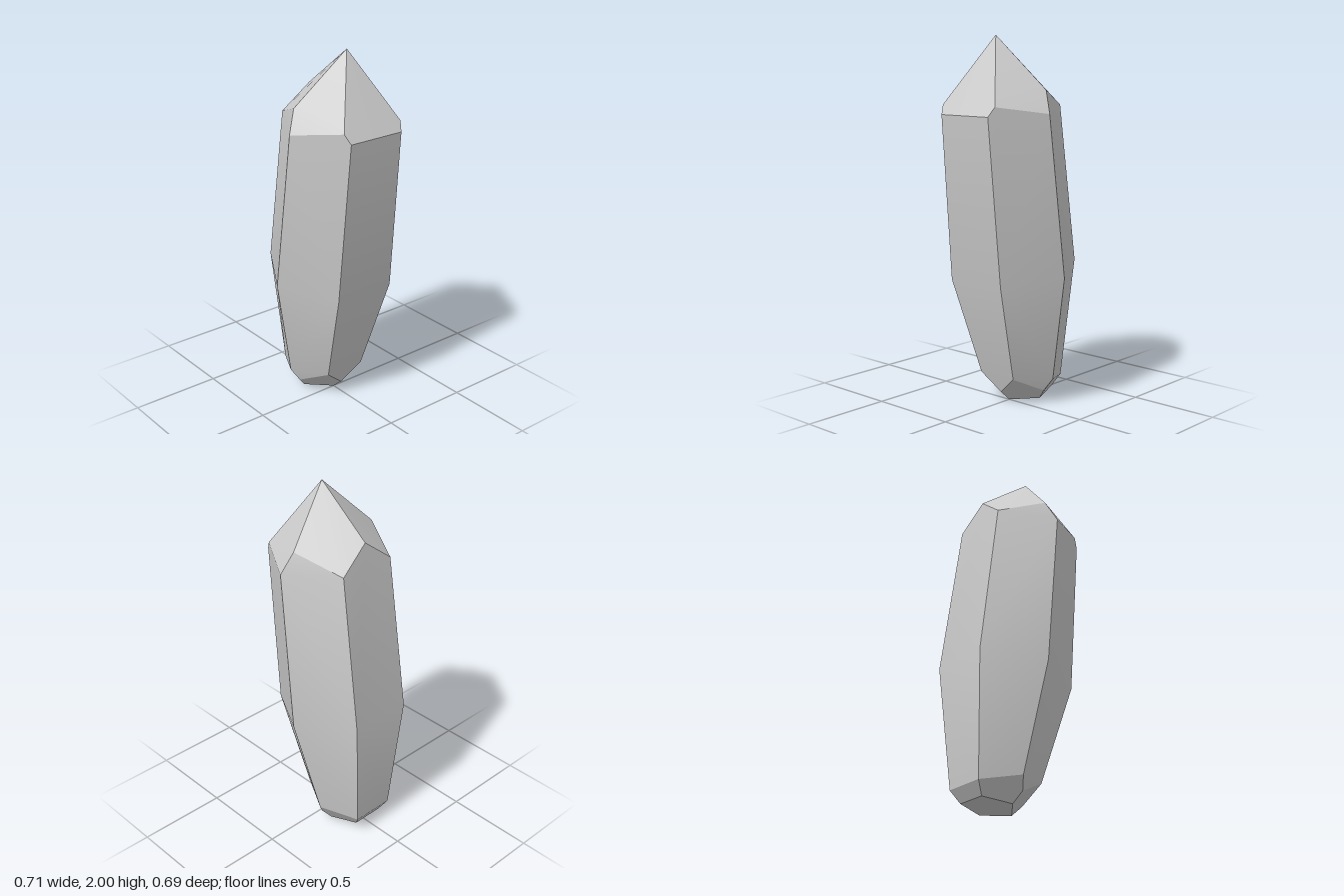
import * as THREE from 'three';
import { ConvexGeometry } from 'three/addons/geometries/ConvexGeometry.js';
import { toCreasedNormals } from 'three/addons/utils/BufferGeometryUtils.js';

// Half of the crystal's corners (x >= 0); the other half is mirrored.
const RINGS = {
  // pointed cap: apex, back notch, and where the cap faces meet each other
  cap: [[0, 2, 0.105], [0, 1.76, -0.207], [0.273, 1.72, 0.02], [0.185, 1.64, 0.313]],
  // leaning six-sided shaft, each ring listed front, side, back
  shoulder: [[0.165, 1.59, 0.344], [0.33, 1.6, 0.058], [0.165, 1.63, -0.225]],
  waist: [[0.178, 0.7, 0.265], [0.354, 0.73, -0.042], [0.178, 0.77, -0.345]],
  ankle: [[0.118, 0.16, 0.1], [0.226, 0.14, -0.105], [0.12, 0.105, -0.3]],
  // blunt root facets and the tilted flat underneath
  root: [[0, 0.06, 0.069], [0.185, 0.073, -0.077]],
  foot: [[0, 0, 0], [0.135, 0.014, -0.1], [0.088, 0.036, -0.256]],
};

function mirroredPoints(corners) {
  return corners.flatMap(([x, y, z]) => {
    const right = new THREE.Vector3(x, y, z);
    return x === 0 ? [right] : [right, new THREE.Vector3(-x, y, z)];
  });
}

export function createModel() {
  const group = new THREE.Group();
  group.name = 'crystal';

  // Faceted hull; the slight bend at the waist is shaded smoothly
  const hull = new ConvexGeometry(mirroredPoints(Object.values(RINGS).flat()));
  const shard = new THREE.Mesh(
    toCreasedNormals(hull, THREE.MathUtils.degToRad(20)),
    new THREE.MeshStandardMaterial({ color: 0xcccccc })
  );
  shard.name = 'crystalShard';
  group.add(shard);
  return group;
}
